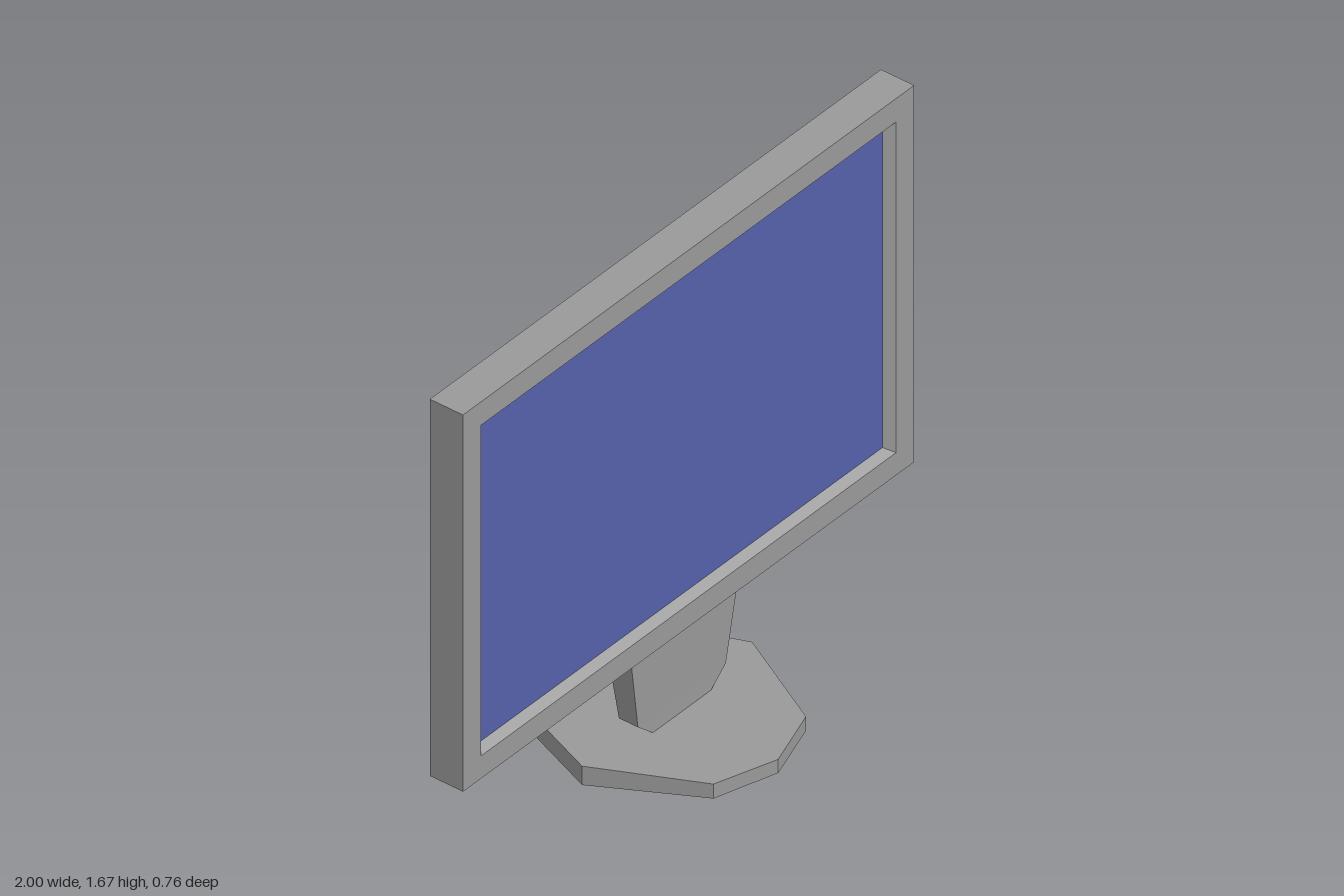
import * as THREE from 'three';

const grey = new THREE.MeshStandardMaterial({ color: 0x999999 });
grey.name = 'grey plastic';
const blue = new THREE.MeshStandardMaterial({ color: 0x5460aa });
blue.name = 'screen blue';

// Faceted skin through four-cornered rings; rings run counterclockwise seen from the end they lead to
function loft(rings, capStart, capEnd) {
  const pos = [];
  const tri = (a, b, c) => {
    if (new THREE.Triangle(a, b, c).getArea() > 1e-7) for (const p of [a, b, c]) pos.push(p.x, p.y, p.z);
  };
  const quad = (a, b, c, d) => { tri(a, b, c); tri(a, c, d); };
  for (let r = 0; r + 1 < rings.length; r++) {
    const a = rings[r], b = rings[r + 1];
    for (let i = 0; i < 4; i++) {
      const j = (i + 1) % 4;
      quad(a[i], a[j], b[j], b[i]);
    }
  }
  if (capStart) quad(...[...rings[0]].reverse());
  if (capEnd) quad(...rings[rings.length - 1]);
  const geometry = new THREE.BufferGeometry();
  geometry.setAttribute('position', new THREE.Float32BufferAttribute(pos, 3));
  geometry.computeVertexNormals();
  return geometry;
}

const v = (x, y, z) => new THREE.Vector3(x, y, z);
// Ring in an upright plane at depth z
const ringZ = ([z, w, y0, y1]) => [v(-w, y0, z), v(w, y0, z), v(w, y1, z), v(-w, y1, z)];
// Ring in a level plane at height y
const ringY = ([y, w, z0, z1]) => [v(-w, y, z1), v(w, y, z1), v(w, y, z0), v(-w, y, z0)];

function part(name, geometry, material) {
  const mesh = new THREE.Mesh(geometry, material);
  mesh.name = name;
  return mesh;
}

export function createModel() {
  const model = new THREE.Group();
  model.name = 'monitor';

  // Casing: back, outer walls, front frame, then the bevel down to the screen
  const recess = 0.032;
  model.add(part('casing', loft([
    [-0.062, 1, 0.367, 1.668],
    [0.057, 1, 0.367, 1.668],
    [0.057, 0.92, 0.445, 1.587],
    [recess, 0.89, 0.468, 1.567],
  ].map(ringZ), true, false), grey));

  // Screen closes the recess
  const screen = part('screen', new THREE.PlaneGeometry(1.78, 1.099), blue);
  screen.position.set(0, 1.0175, recess);
  model.add(screen);

  // Neck: widens upwards, with cut lower corners
  model.add(part('neck', loft([
    [0.06, 0.125, -0.035, 0.033],
    [0.12, 0.195, -0.035, 0.033],
    [0.37, 0.235, -0.045, 0.041],
  ].map(ringY), true, true), grey));

  // Eight-sided foot, thinning towards the front
  model.add(part('foot', loft([
    [-0.38, 0, 0, 0.065],
    [-0.293, 0.27, 0, 0.065],
    [-0.02, 0.377, 0, 0.065],
    [0.312, 0.205, 0.008, 0.058],
    [0.378, 0, 0.01, 0.057],
  ].map(ringZ), false, false), grey));

  return model;
}
